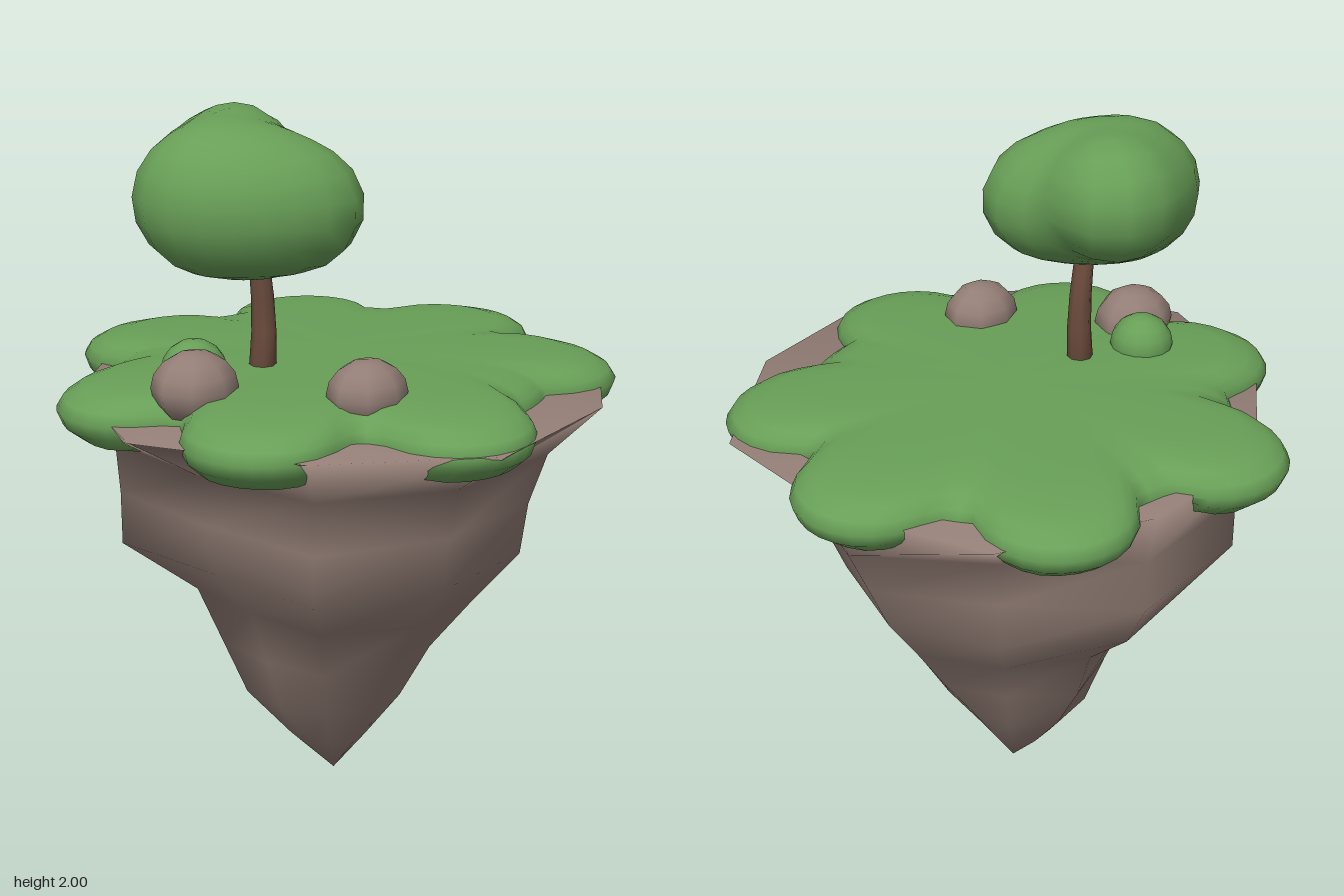
import * as THREE from 'three';
import { mergeVertices } from 'three/addons/utils/BufferGeometryUtils.js';

const mat = (name, color) => Object.assign(new THREE.MeshStandardMaterial({ color }), { name });

function addMesh(group, name, geometry, material) {
  const mesh = new THREE.Mesh(geometry, material);
  mesh.name = name;
  group.add(mesh);
  return mesh;
}

// Weld the points and give smooth normals
function smooth(geometry) {
  geometry.deleteAttribute('uv');
  geometry.deleteAttribute('normal');
  const welded = mergeVertices(geometry, 1e-4);
  welded.computeVertexNormals();
  return welded;
}

// Closed skin over rings, listed from bottom to top; point(i, angle, j) returns [x, y, z]
function loft(rings, sides, point) {
  const pos = [], index = [];
  for (let i = 0; i < rings; i++) {
    for (let j = 0; j < sides; j++) pos.push(...point(i, (j / sides) * Math.PI * 2, j));
  }
  for (let i = 0; i < rings - 1; i++) {
    for (let j = 0; j < sides; j++) {
      const k = (j + 1) % sides;
      const a = i * sides + j, b = i * sides + k, c = a + sides, d = b + sides;
      index.push(a, c, b, b, c, d);
    }
  }
  const g = new THREE.BufferGeometry();
  g.setAttribute('position', new THREE.Float32BufferAttribute(pos, 3));
  g.setIndex(index);
  return smooth(g);
}

// Blob of softly blended balls [x, y, z, radius], found along rays from the centre
function blob(centre, balls, blend) {
  const dist = (p) => balls
    .map(([x, y, z, r]) => Math.hypot(p.x - x, p.y - y, p.z - z) - r)
    .reduce((a, b) => {
      const h = Math.max(blend - Math.abs(a - b), 0) / blend;
      return Math.min(a, b) - (h * h * blend) / 4;
    });
  const g = new THREE.SphereGeometry(1, 20, 14);
  const pos = g.attributes.position;
  const dir = new THREE.Vector3(), p = new THREE.Vector3();
  for (let i = 0; i < pos.count; i++) {
    dir.fromBufferAttribute(pos, i);
    let lo = 0, hi = 0.6;
    for (let n = 0; n < 24; n++) {
      const mid = (lo + hi) / 2;
      p.copy(centre).addScaledVector(dir, mid);
      if (dist(p) < 0) lo = mid; else hi = mid;
    }
    pos.setXYZ(i, p.x, p.y, p.z);
  }
  return smooth(g);
}

// Outline radius of the grass: a disc with seven round lobes [x, z]
const disc = 0.61;
const lobes = [
  [0.57, 0], [0.4, 0.42], [-0.18, 0.56], [-0.54, 0.23], [-0.54, -0.23], [-0.13, -0.57], [0.36, -0.44],
];
function grassRadius(angle) {
  let radius = disc;
  for (const [x, z] of lobes) {
    const along = x * Math.cos(angle) + z * Math.sin(angle);
    const across = z * Math.cos(angle) - x * Math.sin(angle);
    const half = 0.215 ** 2 - across ** 2;
    if (half > 0 && along > 0) radius = Math.max(radius, along + Math.sqrt(half));
  }
  return radius;
}

export function createModel() {
  const model = new THREE.Group();
  model.name = 'floatingIsland';
  const stone = mat('stone', 0x937e76);
  const grass = mat('grass', 0x689f57);
  const bark = mat('bark', 0x6b4c3d);

  // Hanging rock: height, then the radius every 36 degrees from +x towards +z
  const rock = [
    [0, [0, 0, 0, 0, 0, 0, 0, 0, 0, 0]],
    [0.13, [0.09, 0.09, 0.1, 0.11, 0.11, 0.11, 0.13, 0.12, 0.12, 0.1]],
    [0.28, [0.19, 0.2, 0.21, 0.21, 0.22, 0.23, 0.26, 0.23, 0.24, 0.22]],
    [0.45, [0.31, 0.3, 0.3, 0.31, 0.32, 0.29, 0.33, 0.29, 0.34, 0.3]],
    [0.62, [0.42, 0.39, 0.43, 0.43, 0.42, 0.35, 0.4, 0.36, 0.4, 0.39]],
    [0.78, [0.53, 0.49, 0.56, 0.56, 0.61, 0.49, 0.61, 0.54, 0.57, 0.52]],
    [0.93, [0.6, 0.55, 0.58, 0.58, 0.62, 0.52, 0.61, 0.65, 0.65, 0.53]],
    [1.08, [0.67, 0.62, 0.63, 0.62, 0.63, 0.55, 0.62, 0.65, 0.65, 0.56]],
    [1.23, [0.71, 0.79, 0.775, 0.82, 0.77, 0.79, 0.72, 0.7, 0.68, 0.74]],
    [1.23, [0, 0, 0, 0, 0, 0, 0, 0, 0, 0]],
  ];
  addMesh(model, 'rockBase', loft(rock.length, 10, (i, a, j) => {
    const [y, radii] = rock[i];
    return [radii[j] * Math.cos(a), y, radii[j] * Math.sin(a)];
  }), stone);

  // Grass cap with rounded rim: share of the outline radius, height above the rim line
  const rimY = 1.225;
  const cap = [
    [0, -0.08], [0.6, -0.085], [0.83, -0.095], [0.92, -0.078], [0.98, -0.04], [1, 0],
    [0.975, 0.03], [0.92, 0.055], [0.83, 0.074], [0.65, 0.083], [0.35, 0.087], [0, 0.087],
  ];
  addMesh(model, 'grassCap', loft(cap.length, 96, (i, a) => {
    const [share, dy] = cap[i];
    const outline = grassRadius(a);
    // The lobes hang lower towards their tips
    const sag = dy < 0 && share > 0 ? Math.min(1, Math.sqrt((outline - disc) / 0.16)) : 1;
    const r = share * outline;
    return [r * Math.cos(a), rimY + dy * sag, r * Math.sin(a)];
  }), grass);

  // Tree: bent, tapered trunk (x, y, radius) and a lumpy crown
  const trunk = [
    [-0.25, 1.28, 0], [-0.25, 1.28, 0.038], [-0.242, 1.4, 0.034],
    [-0.246, 1.5, 0.031], [-0.265, 1.66, 0.026], [-0.265, 1.66, 0],
  ];
  const tree = new THREE.Group();
  tree.name = 'tree';
  model.add(tree);
  addMesh(tree, 'trunk', loft(trunk.length, 8, (i, a) => {
    const [x, y, r] = trunk[i];
    return [x + r * Math.cos(a), y, -0.04 + r * Math.sin(a)];
  }), bark);
  addMesh(tree, 'crown', blob(new THREE.Vector3(-0.3, 1.79, -0.04), [
    [-0.21, 1.832, -0.17, 0.167],
    [-0.41, 1.78, -0.09, 0.186],
    [-0.23, 1.757, 0.1, 0.157],
    [-0.34, 1.77, 0.01, 0.165],
  ], 0.13), grass);

  // Boulders and a small bush lying on the grass
  const mounds = [
    ['sideBoulder', [-0.53, 1.315, -0.02], [0.12, 0.097, 0.11], stone],
    ['frontBoulder', [-0.28, 1.315, 0.355], [0.115, 0.09, 0.1], stone],
    ['bush', [-0.42, 1.315, -0.13], [0.09, 0.085, 0.09], grass],
  ];
  for (const [name, at, size, material] of mounds) {
    const sides = material === grass ? 14 : 8;
    const mesh = addMesh(model, name, smooth(new THREE.SphereGeometry(1, sides, 8)), material);
    mesh.position.set(...at);
    mesh.scale.set(...size);
  }
  return model;
}
